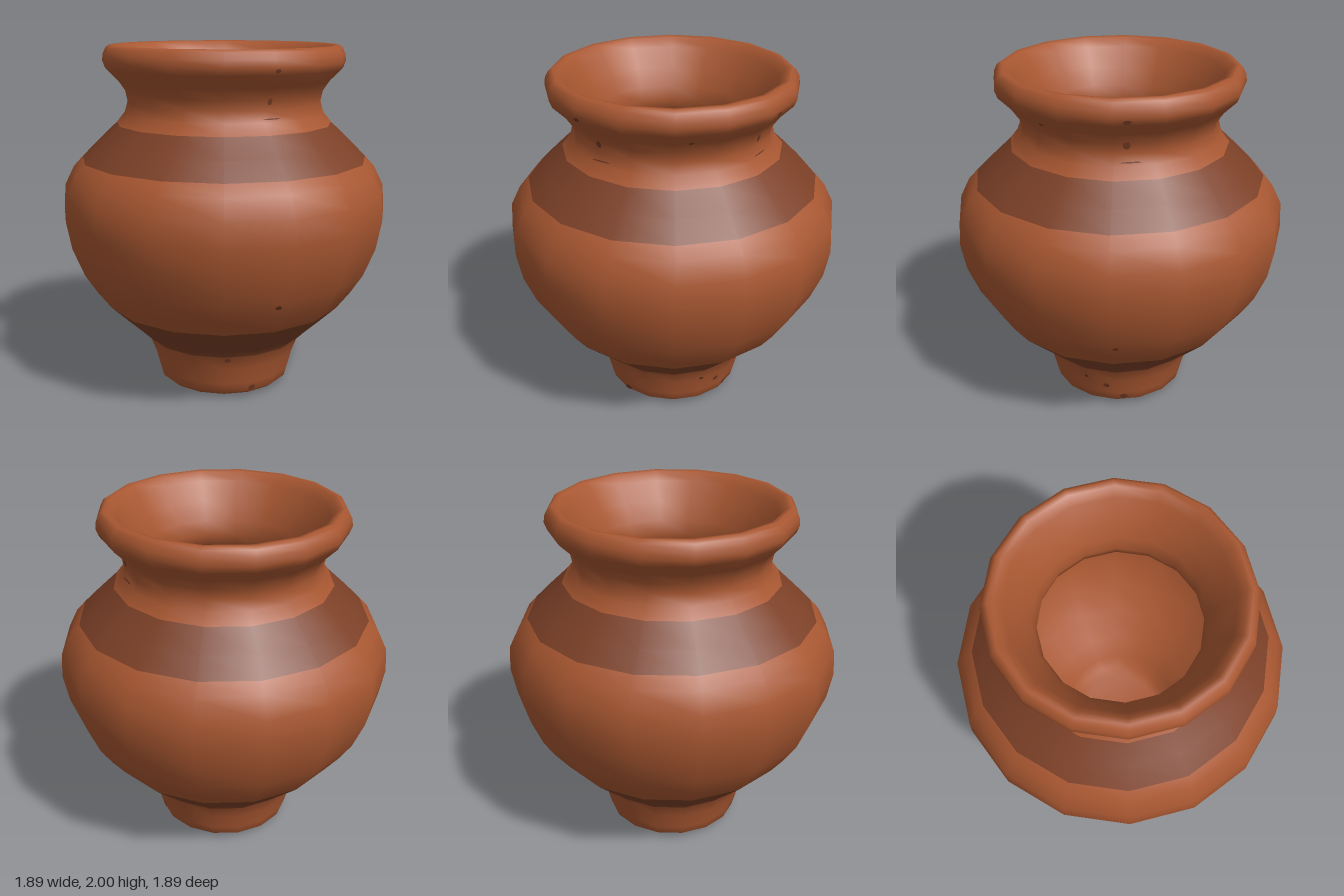
import * as THREE from 'three';

const SIDES = 16;

// Closed wall section [radius, height]: foot, outside, lip, then down the inside
const FOOT = [[0, 0], [0.28, 0.008], [0.36, 0.02], [0.39, 0.045], [0.405, 0.1], [0.43, 0.2], [0.465, 0.29]];
const LOWER_BAND = [[0.515, 0.34], [0.58, 0.4], [0.70, 0.515]];
const BELLY = [[0.78, 0.62], [0.85, 0.73], [0.915, 0.89], [0.945, 1.05], [0.935, 1.19], [0.88, 1.30], [0.825, 1.36]];
const UPPER_BAND = [[0.73, 1.455], [0.62, 1.56]];
const NECK = [[0.572, 1.62], [0.556, 1.68], [0.568, 1.74], [0.61, 1.80], [0.68, 1.87],
  [0.695, 1.91], [0.69, 1.95], [0.672, 1.985], [0.65, 2.0], [0.62, 1.995]];
const INSIDE = [[0.58, 1.95], [0.51, 1.84], [0.46, 1.74], [0.438, 1.66], [0.46, 1.58], [0.56, 1.49],
  [0.7, 1.36], [0.8, 1.2], [0.82, 1.05], [0.78, 0.85], [0.69, 0.68], [0.57, 0.52], [0.44, 0.38],
  [0.35, 0.27], [0.3, 0.19], [0.24, 0.155], [0, 0.15]];
const OUTSIDE = [...FOOT, ...LOWER_BAND, ...BELLY, ...UPPER_BAND, ...NECK];
const PROFILE = [...OUTSIDE, ...INSIDE];

export function createModel() {
  const group = new THREE.Group();
  group.name = 'clayPot';
  const clay = new THREE.MeshStandardMaterial({ color: 0xa85731 });
  clay.name = 'terracotta';
  const brown = new THREE.MeshStandardMaterial({ color: 0x7c4027 });
  brown.name = 'dark band';
  const spot = new THREE.MeshStandardMaterial({ color: 0x6e3822 });
  spot.name = 'dark speck';

  const lathe = new THREE.LatheGeometry(PROFILE.map(([r, y]) => new THREE.Vector2(r, y)), SIDES);
  const index = lathe.getIndex().array;

  // Cut one ring section out of the lathe, keeping its smooth normals
  let row = 0;
  function section(name, rows, material) {
    const first = row, last = row + rows;
    row = last;
    const kept = [];
    for (let t = 0; t < index.length; t += 3) {
      const tri = [index[t], index[t + 1], index[t + 2]];
      const low = Math.min(...tri.map((v) => v % PROFILE.length));
      const high = Math.max(...tri.map((v) => v % PROFILE.length));
      if (low >= first && high <= last) kept.push(...tri);
    }
    const geometry = lathe.clone();
    geometry.setIndex(kept);
    const mesh = new THREE.Mesh(geometry, material);
    mesh.name = name;
    group.add(mesh);
  }
  section('foot', FOOT.length - 1, clay);
  section('lowerBand', LOWER_BAND.length, brown);
  section('belly', BELLY.length, clay);
  section('upperBand', UPPER_BAND.length, brown);
  section('neckAndLip', NECK.length, clay);
  section('inside', INSIDE.length, clay);

  // Small flat chips lying on the outer wall: angle (0 = front), height, width, height of chip
  const step = (Math.PI * 2) / SIDES;
  function speck(angle, y, w, h) {
    const k = OUTSIDE.findIndex((p, i) => i > 0 && p[1] >= y);
    const [r0, y0] = OUTSIDE[k - 1], [r1, y1] = OUTSIDE[k];
    const r = r0 + ((r1 - r0) * (y - y0)) / (y1 - y0);
    const facet = (Math.floor(angle / step) + 0.5) * step;
    const reach = (r * Math.cos(step / 2)) / Math.cos(angle - facet);
    const normal = new THREE.Vector3(Math.sin(facet) * (y1 - y0), r0 - r1, Math.cos(facet) * (y1 - y0)).normalize();
    const mesh = new THREE.Mesh(new THREE.CircleGeometry(1, 7), spot);
    mesh.name = 'speck';
    mesh.position.set(Math.sin(angle) * reach, y, Math.cos(angle) * reach).addScaledVector(normal, 0.004);
    mesh.lookAt(mesh.position.clone().add(normal));
    mesh.scale.set(w, h, 1);
    group.add(mesh);
  }
  const q = Math.PI / 2;
  [
    [0.01, 1.893, 0.018, 0.012], [0.04, 1.73, 0.016, 0.02], [-0.045, 0.7, 0.018, 0.016],
    [0.02, 0.065, 0.025, 0.02], [-0.35, 0.27, 0.02, 0.016], [0.06, 1.637, 0.06, 0.004],
    [q + 0.11, 1.89, 0.024, 0.014], [q + 0.12, 1.73, 0.02, 0.024], [q - 0.65, 1.81, 0.014, 0.014],
    [q + 0.03, 0.7, 0.016, 0.016], [q - 0.4, 0.22, 0.014, 0.014], [q - 0.13, 0.16, 0.02, 0.018],
    [q + 0.12, 0.07, 0.025, 0.02], [q + 0.16, 1.637, 0.06, 0.004],
  ].forEach((s) => speck(...s));

  return group;
}
